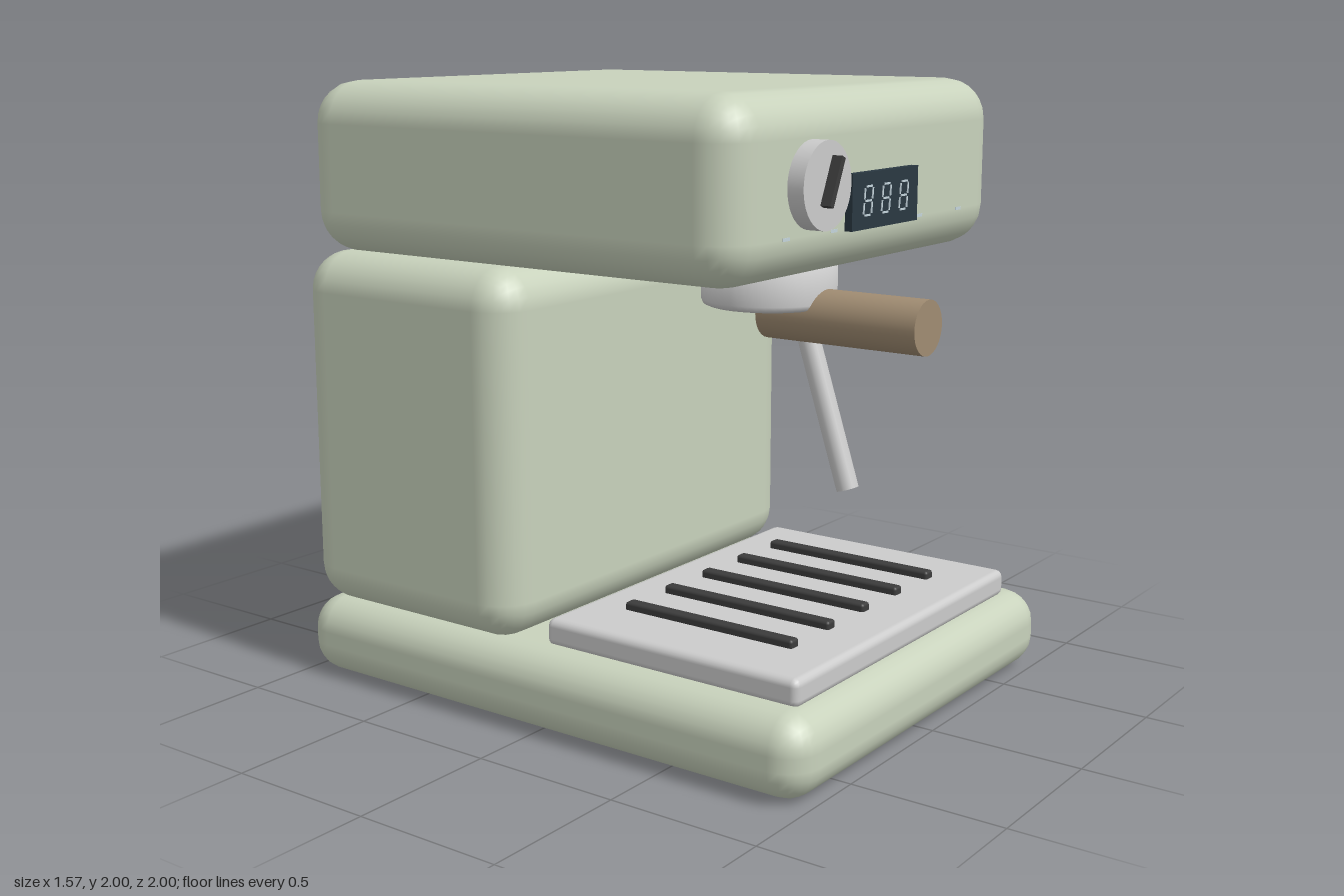
import * as THREE from 'three';
import { RoundedBoxGeometry } from 'three/addons/geometries/RoundedBoxGeometry.js';

const material = (color) => new THREE.MeshStandardMaterial({ color });

export function createModel() {
  const model = new THREE.Group();
  model.name = 'espressoMachine';

  const sage = material(0xc8d2bc);
  const steel = material(0xcccccc);
  const dark = material(0x3c3c3c);
  const wood = material(0xa08c72);
  const glass = material(0x2a3842);
  const light = material(0xc4d4dc);

  function add(name, geometry, mat, x, y, z, parent = model) {
    const mesh = new THREE.Mesh(geometry, mat);
    mesh.name = name;
    mesh.position.set(x, y, z);
    parent.add(mesh);
    return mesh;
  }

  // Rounded box given by its vertical and depth extents, centred on x
  function shell(name, width, y0, y1, z0, z1, radius, mat, segments = 3) {
    const geometry = new RoundedBoxGeometry(width, y1 - y0, z1 - z0, segments, radius);
    return add(name, geometry, mat, 0, (y0 + y1) / 2, (z0 + z1) / 2);
  }

  // Housing
  shell('base', 1.57, 0, 0.265, -1, 1, 0.11, sage);
  shell('body', 1.57, 0.26, 1.45, -0.97, -0.07, 0.13, sage);
  shell('head', 1.57, 1.45, 2, -0.92, 0.765, 0.135, sage);

  // Drip tray with raised slots
  shell('dripTray', 1.32, 0.255, 0.345, -0.025, 0.91, 0.025, steel, 2);
  for (let i = -2; i <= 2; i++) {
    add('traySlot', new RoundedBoxGeometry(0.044, 0.035, 0.63, 2, 0.01), dark, i * 0.21, 0.353, 0.437);
  }

  // Brew group with a softened lower rim
  const groupProfile = [[0, 0], [0.2, 0], [0.212, 0.005], [0.218, 0.02], [0.218, 0.17], [0, 0.17]]
    .map(([r, y]) => new THREE.Vector2(r, y));
  const creased = new THREE.LatheGeometry(groupProfile, 48);
  add('brewGroup', creased, steel, 0, 1.3, 0.37);

  // Portafilter handle
  add('portafilterHandle', new THREE.CylinderGeometry(0.087, 0.087, 0.57, 32), wood, 0, 1.278, 0.66)
    .rotation.x = Math.PI / 2;

  // Steam wand, leaning forward towards its tip
  const wandTop = new THREE.Vector3(0.565, 1.345, 0.085);
  const wandTip = new THREE.Vector3(0.565, 0.56, 0.34);
  const wandAxis = wandTop.clone().sub(wandTip);
  const wandMiddle = wandTop.clone().add(wandTip).multiplyScalar(0.5);
  add('steamWand', new THREE.CylinderGeometry(0.04, 0.04, wandAxis.length(), 24), steel, ...wandMiddle)
    .quaternion.setFromUnitVectors(new THREE.Vector3(0, 1, 0), wandAxis.normalize());

  // Control dial and pointer
  add('dial', new THREE.CylinderGeometry(0.13, 0.13, 0.07, 40), steel, -0.387, 1.73, 0.784)
    .rotation.x = Math.PI / 2;
  add('dialPointer', new THREE.BoxGeometry(0.02, 0.152, 0.04), dark, -0.387, 1.742, 0.832)
    .rotation.z = -0.42;

  // Display with three seven-segment digits
  const display = new THREE.Group();
  display.name = 'display';
  display.position.set(-0.003, 1.663, 0.775);
  model.add(display);
  add('displayPanel', new THREE.BoxGeometry(0.395, 0.17, 0.03), glass, 0, 0, 0, display);
  const flat = new THREE.BoxGeometry(0.034, 0.006, 0.004);
  const upright = new THREE.BoxGeometry(0.006, 0.034, 0.004);
  for (const x of [-0.107, 0, 0.107]) {
    for (const row of [-1, 0, 1]) {
      add('digitSegment', flat, light, x + row * 0.005, row * 0.043, 0.016, display);
    }
    for (const side of [-1, 1]) {
      for (const row of [-1, 1]) {
        add('digitSegment', upright, light, x + side * 0.023 + row * 0.0025, row * 0.0215, 0.016, display)
          .rotation.z = -0.11;
      }
    }
  }

  // Indicator strips low on the head's front
  for (const x of [-0.52, -0.26, 0.255, 0.515]) {
    add('indicator', new THREE.BoxGeometry(0.036, 0.01, 0.02), light, x, 1.585, 0.756);
  }

  // Screws on the left side of the body
  for (const y of [0.4, 1.265]) {
    for (const z of [-0.25, -0.79]) {
      add('sideScrew', new THREE.CylinderGeometry(0.006, 0.006, 0.012, 12), dark, 0.783, y, z)
        .rotation.z = Math.PI / 2;
    }
  }

  return model;
}
